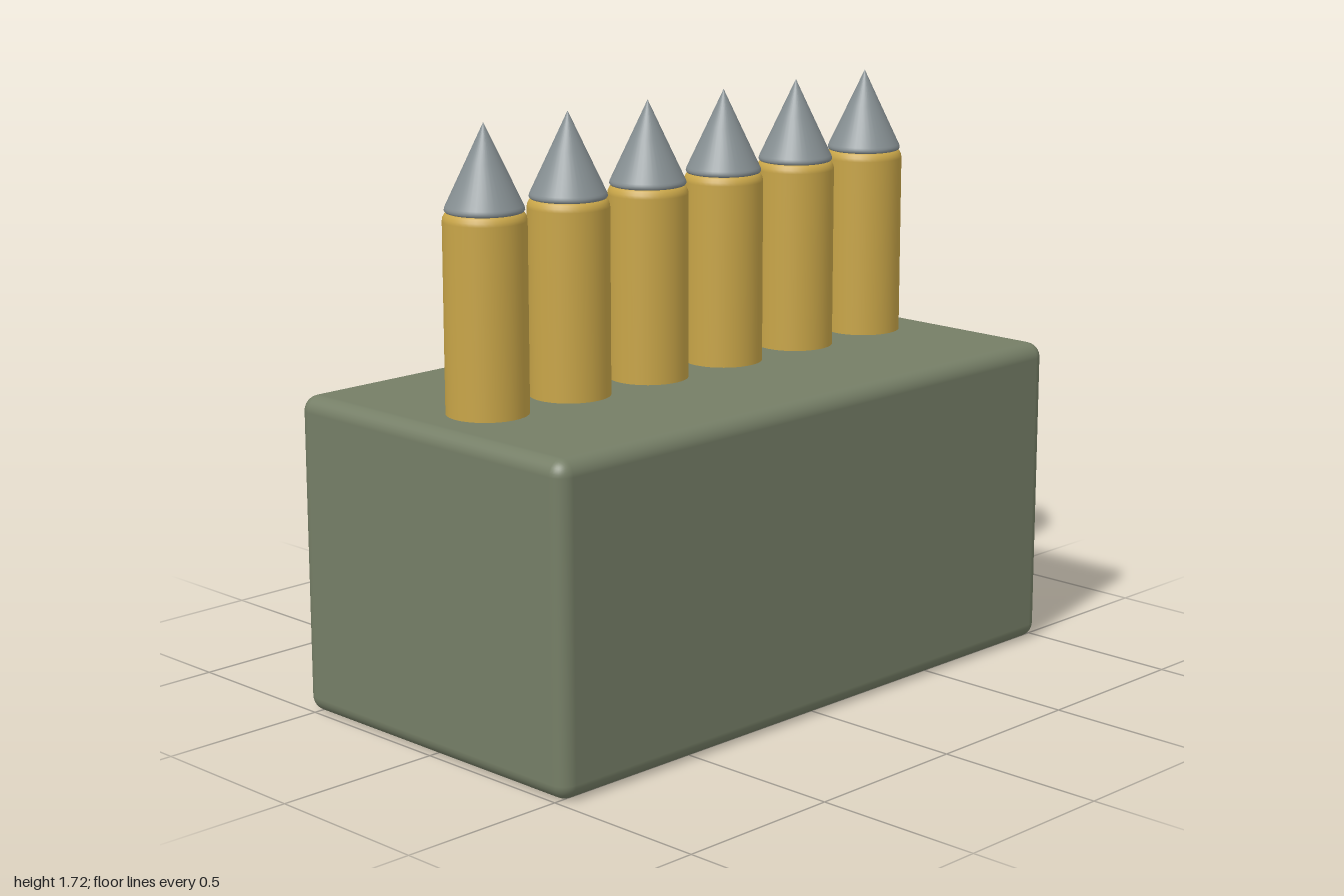
import * as THREE from 'three';
import { RoundedBoxGeometry } from 'three/addons/geometries/RoundedBoxGeometry.js';

const material = (name, color) => {
  const m = new THREE.MeshStandardMaterial({ color });
  m.name = name;
  return m;
};

export function createModel() {
  const olive = material('olive', 0x757e66);
  const brass = material('brass', 0xc8a548);
  const steel = material('steel grey', 0x879093);
  const model = new THREE.Group();
  model.name = 'ammunitionBox';

  const add = (parent, name, geometry, mat) => {
    const mesh = new THREE.Mesh(geometry, mat);
    mesh.name = name;
    parent.add(mesh);
    return mesh;
  };
  const lathe = (points) =>
    new THREE.LatheGeometry(points.map(([r, y]) => new THREE.Vector2(r, y)), 40);

  // Solid box with softly rounded edges
  const height = 0.925;
  add(model, 'box', new RoundedBoxGeometry(2, height, 1.07, 4, 0.045), olive)
    .position.y = height / 2;

  // Casing: straight wall, rounded shoulder and flat top, with its foot sunk in the box
  const casing = lathe([
    [0, 0.88], [0.115, 0.88], [0.115, 0.881], [0.115, 1.455], [0.1133, 1.465],
    [0.108, 1.475], [0.1, 1.48], [0.098, 1.48], [0, 1.48],
  ]);

  // Pointed tip: slightly rounded rim, then a straight cone
  const tip = lathe([
    [0, 1.478], [0.1, 1.478], [0.106, 1.48], [0.109, 1.485], [0.108, 1.491],
    [0.106, 1.496], [0.05, 1.614], [0, 1.72],
  ]);

  // Row of six rounds along the middle
  for (let i = 0; i < 6; i++) {
    const round = new THREE.Group();
    round.name = `round${i + 1}`;
    round.position.x = (i - 2.5) * 0.3075;
    add(round, 'casing', casing, brass);
    add(round, 'tip', tip, steel);
    model.add(round);
  }
  return model;
}
